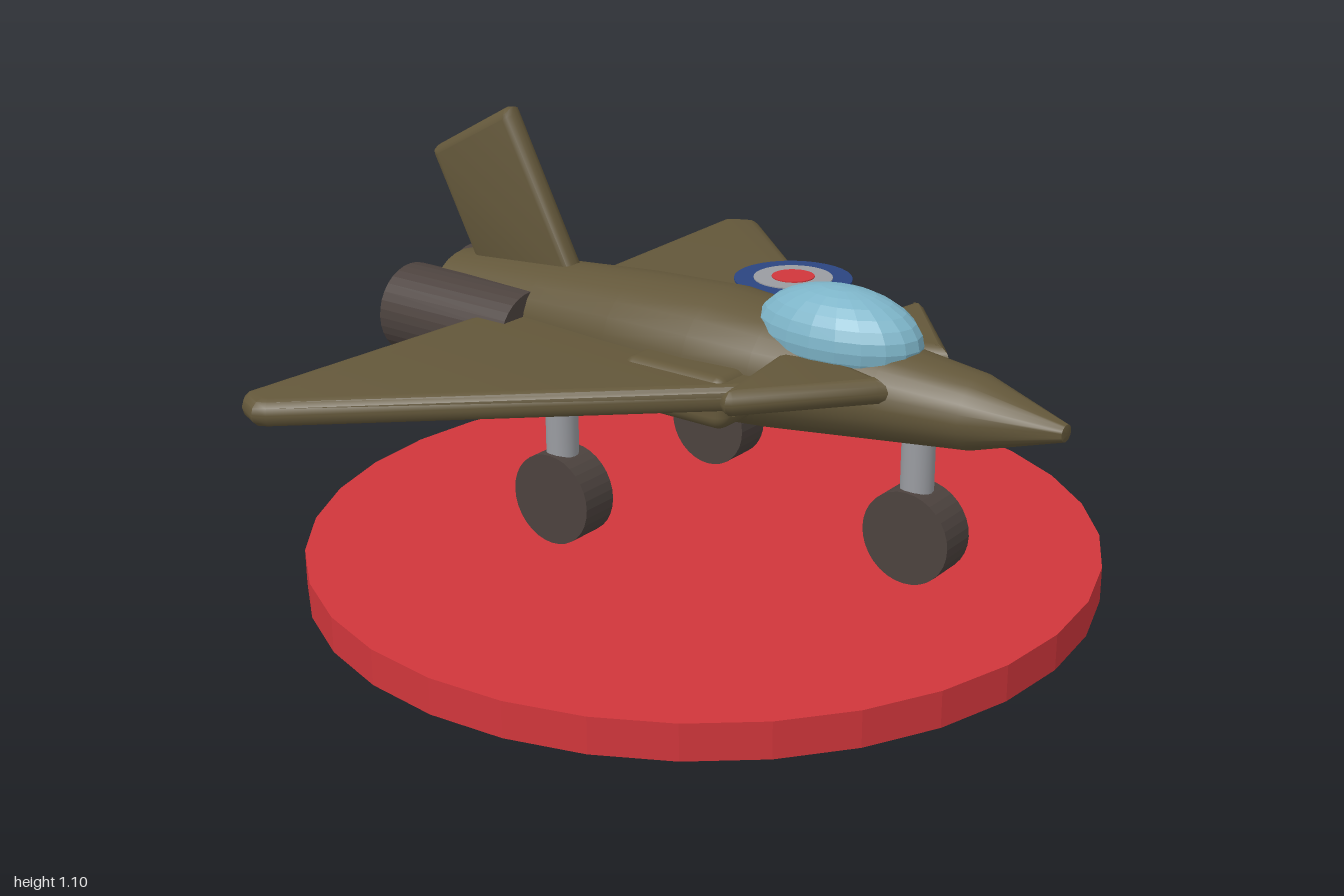
import * as THREE from 'three';
import { toCreasedNormals } from 'three/addons/utils/BufferGeometryUtils.js';
import { RoundedBoxGeometry } from 'three/addons/geometries/RoundedBoxGeometry.js';

function material(name, color, flatShading = false) {
  const m = new THREE.MeshStandardMaterial({ color, flatShading });
  m.name = name;
  return m;
}

// Plate with rounded edges, centred on its thickness; outline is the outer edge
function plate(points, thickness) {
  const bevel = thickness * 0.48;
  const shape = new THREE.Shape(points.map(([a, b]) => new THREE.Vector2(a, b)));
  const geo = new THREE.ExtrudeGeometry(shape, {
    depth: thickness - 2 * bevel, bevelEnabled: true, bevelThickness: bevel,
    bevelSize: bevel, bevelOffset: -bevel, bevelSegments: 3,
  });
  geo.translate(0, 0, bevel - thickness / 2);
  return toCreasedNormals(geo, 0.6);
}

// Horizontal plate from [x, z] points
function flatPlate(points, thickness, side) {
  return plate(points.map(([x, z]) => [x * side, -z]), thickness).rotateX(-Math.PI / 2);
}

export function createModel() {
  const model = new THREE.Group();
  model.name = 'jetOnStand';

  const olive = material('olive', 0x63573a);
  const dark = material('darkBrown', 0x4c423e, true);
  const red = material('red', 0xd0363b, true);
  const glass = material('canopyBlue', 0x7db4c8, true);
  const grey = material('grey', 0x9a9ca1);
  const blue = material('roundelBlue', 0x2b4580);

  function add(name, geo, mat, x = 0, y = 0, z = 0, parent = model) {
    const mesh = new THREE.Mesh(geo, mat);
    mesh.name = name;
    mesh.position.set(x, y, z);
    parent.add(mesh);
    return mesh;
  }

  // Stand
  add('stand', new THREE.CylinderGeometry(1, 1, 0.09, 32), red, 0, 0.045, 0);

  // Fuselage, lathed from tail to nose and slightly widened
  const profile = [
    [0, -0.8], [0.11, -0.8], [0.134, -0.46], [0.155, -0.18], [0.165, 0.07],
    [0.15, 0.25], [0.113, 0.56], [0.088, 0.77], [0.02, 0.99], [0, 0.995],
  ].map(([r, z]) => new THREE.Vector2(r, z));
  const body = new THREE.LatheGeometry(profile, 24).rotateX(Math.PI / 2).scale(1.15, 1, 1);
  add('fuselage', toCreasedNormals(body, 0.6), olive, 0, 0.577, 0);

  // Canopy
  add('canopy', new THREE.SphereGeometry(1, 20, 14).scale(0.13, 0.117, 0.218), glass, 0, 0.688, 0.395);

  // Tail fin, drawn as [z, y]
  const fin = plate([
    [-0.375, 0.65], [-0.595, 1.08], [-0.605, 1.098], [-0.625, 1.096],
    [-0.87, 0.965], [-0.884, 0.95], [-0.88, 0.935], [-0.73, 0.65],
  ], 0.06).rotateY(-Math.PI / 2);
  add('tailFin', fin, olive);

  // Air intakes on the belly sides
  add('airIntakes', new RoundedBoxGeometry(0.53, 0.13, 0.31, 3, 0.035), olive, 0, 0.547, 0.095);

  for (const side of [1, -1]) {
    const prefix = side > 0 ? 'left' : 'right';

    // Main delta wing
    add(prefix + 'Wing', flatPlate([
      [0, 0.54], [0.965, -0.51], [0.98, -0.54], [0.955, -0.6], [0.93, -0.622], [0.22, -0.58], [0, -0.567],
    ], 0.066, side), olive, 0, 0.568, 0);

    // Foreplane
    add(prefix + 'Foreplane', flatPlate([
      [0.04, 0.29], [0.41, 0.35], [0.42, 0.37], [0.41, 0.385], [0.155, 0.6], [0.135, 0.615], [0.12, 0.59], [0.04, 0.34],
    ], 0.064, side), olive, 0, 0.627, 0);

    // Engine
    const engine = new THREE.CylinderGeometry(0.12, 0.12, 0.425, 32).rotateX(Math.PI / 2);
    add(prefix + 'Engine', engine, dark, side * 0.12, 0.54, -0.6725);
  }

  // Landing gear: nose wheel and two main wheels
  for (const [name, x, z] of [['nose', 0, 0.62], ['leftMain', 0.32, -0.19], ['rightMain', -0.32, -0.19]]) {
    const gear = new THREE.Group();
    gear.name = name + 'Gear';
    gear.position.set(x, 0, z);
    add('strut', new THREE.CylinderGeometry(0.04, 0.04, 0.2, 20), grey, 0, 0.385, 0, gear);
    add('wheel', new THREE.CylinderGeometry(0.115, 0.115, 0.1, 32).rotateZ(Math.PI / 2), dark, 0, 0.243, 0, gear);
    model.add(gear);
  }

  // Roundel painted on the left wing
  [['outer', 0.16, blue], ['middle', 0.107, grey], ['centre', 0.058, red]].forEach(([name, r, mat], i) => {
    add(name + 'RoundelDisc', new THREE.CylinderGeometry(r, r, 0.006, 32), mat, 0.53, 0.602 + i * 0.003, -0.095);
  });

  return model;
}
